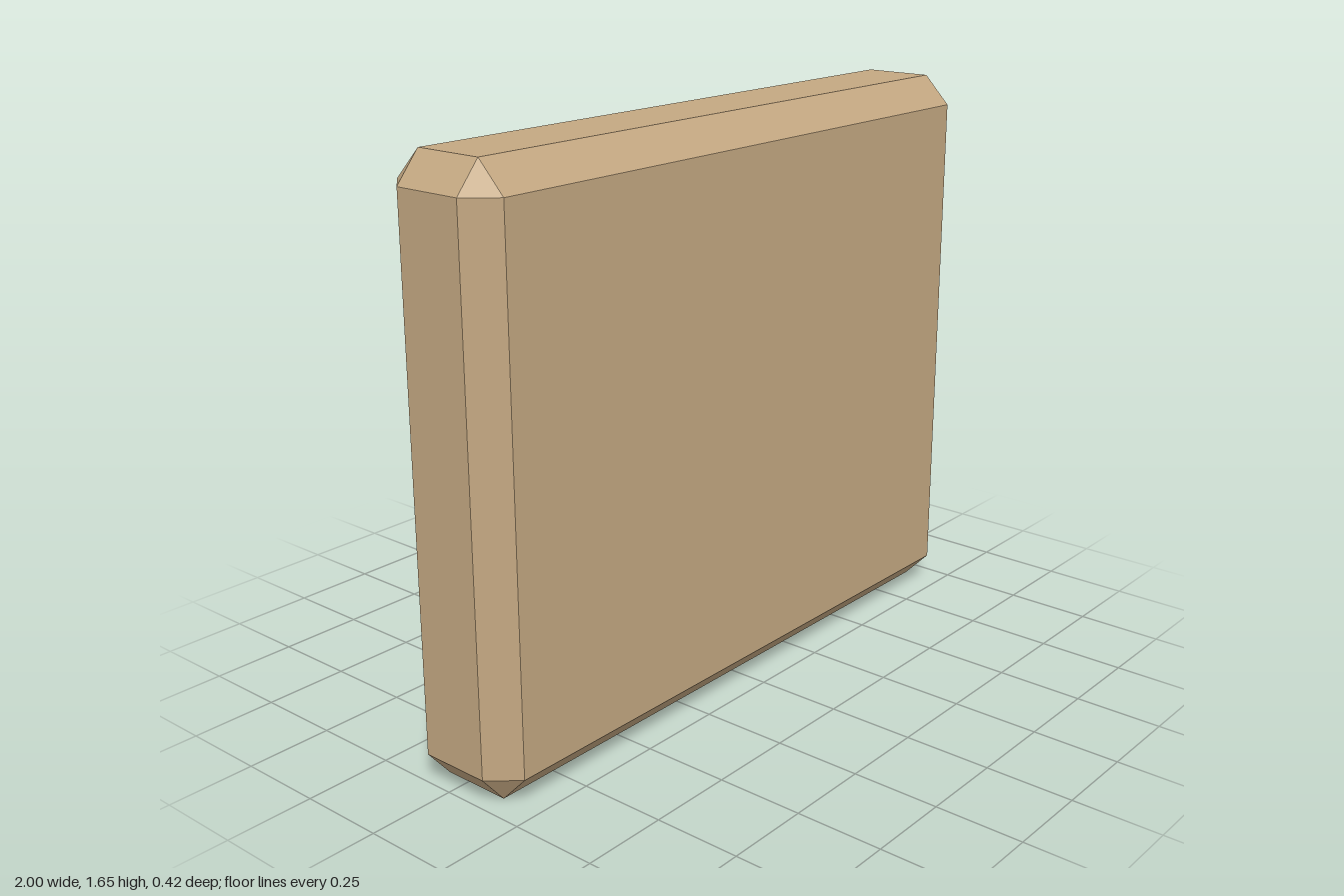
import * as THREE from 'three';
import { ConvexGeometry } from 'three/addons/geometries/ConvexGeometry.js';

// Box with flat chamfers on every edge and a triangular facet on every corner.
function chamferedBox(name, size, chamfer, position, color) {
  const [hx, hy, hz] = size.map((s) => s / 2);
  const [cx, cy, cz] = chamfer;
  const points = [];
  for (const sx of [-1, 1]) for (const sy of [-1, 1]) for (const sz of [-1, 1]) {
    points.push(
      new THREE.Vector3(sx * hx, sy * (hy - cy), sz * (hz - cz)),
      new THREE.Vector3(sx * (hx - cx), sy * hy, sz * (hz - cz)),
      new THREE.Vector3(sx * (hx - cx), sy * (hy - cy), sz * hz)
    );
  }
  const material = new THREE.MeshStandardMaterial({ color, flatShading: true });
  const mesh = new THREE.Mesh(new ConvexGeometry(points), material);
  mesh.name = name;
  mesh.position.set(...position);
  return mesh;
}

export function createModel() {
  const group = new THREE.Group();
  group.name = 'panel';

  // Thick slab with wide chamfers
  group.add(chamferedBox('slab', [2, 1.655, 0.365], [0.07, 0.083, 0.08], [0, 0.8275, 0.0275], 0xc4a882));

  // Thin plate set into the back, with fine chamfers
  group.add(chamferedBox('backPlate', [1.38, 1.21, 0.08], [0.01, 0.012, 0.013], [0, 0.83, -0.17], 0xbc9a78));

  return group;
}
